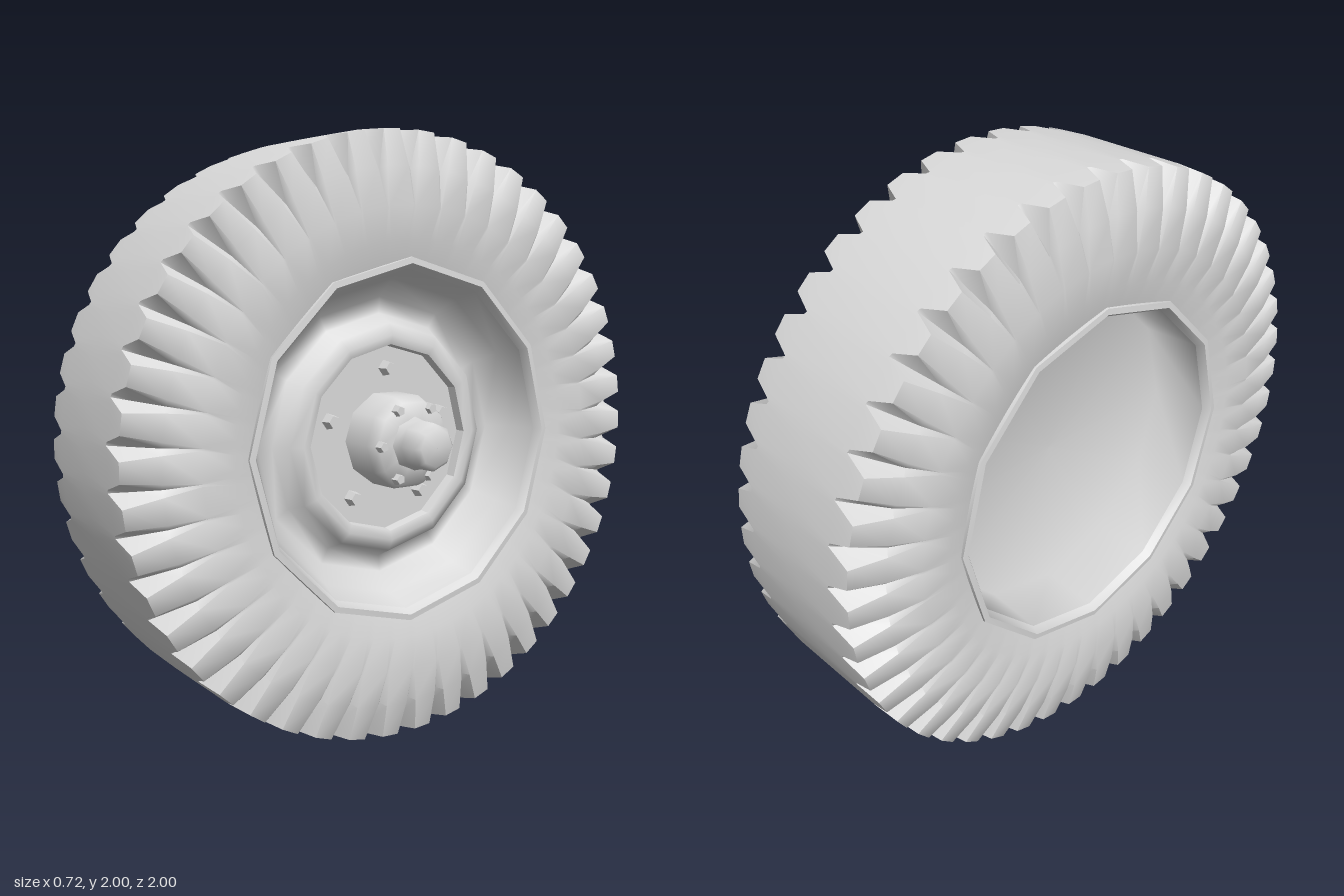
import * as THREE from 'three';
import { toCreasedNormals } from 'three/addons/utils/BufferGeometryUtils.js';

const grey = new THREE.MeshStandardMaterial({ color: 0xdadada, side: THREE.DoubleSide });
grey.name = 'plain grey';

function add(parent, name, geometry) {
  const mesh = new THREE.Mesh(geometry, grey);
  mesh.name = name;
  parent.add(mesh);
  return mesh;
}

// Revolve [radius, x] points around the axle (x axis)
function revolve(points, sides, crease) {
  const g = new THREE.LatheGeometry(points.map(([r, x]) => new THREE.Vector2(r, x)), sides);
  g.rotateZ(-Math.PI / 2);
  return crease ? toCreasedNormals(g, crease) : g;
}

// Tyre: V-shaped grooves cut into both shoulders, widest at the tread edge
function tyreGeometry() {
  const lugs = 46;
  const mid = -0.0625;
  // half section as [distance from the middle, radius, half width of the groove], bead to tread
  const lug = [[0.268, 0.57, 0.25], [0.288, 0.65, 0.25], [0.297, 0.76, 0.06],
    [0.287, 0.88, 0.16], [0.262, 0.995, 0.27], [0.185, 1, 0.08]];
  const groove = [[0.268, 0.57, 0], [0.288, 0.65, 0], [0.296, 0.755, 0],
    [0.268, 0.87, 0], [0.215, 0.95, 0], [0.18, 1, 0]];
  const full = half => [
    ...half.map(([d, r, w]) => [mid + d, r, w]),
    [mid, 1, half === lug ? 0.25 : 0],
    ...half.slice().reverse().map(([d, r, w]) => [mid - d, r, w]),
  ];
  const steps = [[-1, lug], [0, groove], [1, lug]];
  const position = [], index = [];
  const rings = lugs * steps.length, n = lug.length * 2 + 1;
  for (let i = 0; i < lugs; i++) {
    for (const [side, half] of steps) {
      for (const [x, r, w] of full(half)) {
        const a = (i + side * w) / lugs * Math.PI * 2;
        position.push(x, r * Math.cos(a), r * Math.sin(a));
      }
    }
  }
  for (let i = 0; i < rings; i++) {
    const p = i * n, q = ((i + 1) % rings) * n;
    for (let j = 0; j < n - 1; j++) {
      index.push(p + j, p + j + 1, q + j, q + j, p + j + 1, q + j + 1);
    }
  }
  const g = new THREE.BufferGeometry();
  g.setAttribute('position', new THREE.Float32BufferAttribute(position, 3));
  g.setIndex(index);
  return toCreasedNormals(g, 0.9);
}

// Ring of small five-sided nuts on a face at the given x
function nutRing(parent, name, count, ringRadius, x, radius, height) {
  const group = new THREE.Group();
  group.name = name;
  const g = new THREE.CylinderGeometry(radius * 0.75, radius, height, 5);
  g.rotateZ(-Math.PI / 2);
  const nut = toCreasedNormals(g, 0.5);
  for (let i = 0; i < count; i++) {
    const a = i / count * Math.PI * 2 + (count === 5 ? Math.PI / 2 : 0);
    const mesh = add(group, 'nut', nut);
    mesh.position.set(x + height / 2, ringRadius * Math.sin(a), ringRadius * Math.cos(a));
  }
  parent.add(group);
}

export function createModel() {
  const model = new THREE.Group();
  model.name = 'wheel';
  const wheel = new THREE.Group();
  wheel.name = 'wheelAssembly';
  wheel.position.y = 1;
  model.add(wheel);

  add(wheel, 'tyre', tyreGeometry());

  // Rim lips on both sides
  add(wheel, 'outerRimLip', revolve([[0.6, 0.195], [0.598, 0.22], [0.578, 0.222], [0.562, 0.195]], 12, 0.9));
  add(wheel, 'innerRimLip', revolve([[0.562, -0.32], [0.578, -0.347], [0.598, -0.345], [0.6, -0.32]], 12, 0.9));

  // Dished front with a raised ring around the flat centre
  add(wheel, 'dish', revolve([
    [0.562, 0.195], [0.53, 0.11], [0.47, 0.04], [0.415, 0.035],
    [0.385, 0.095], [0.345, 0.115], [0.315, 0.105],
  ], 12));
  add(wheel, 'centreDisc', revolve([[0.315, 0.105], [0.31, 0.072], [0.001, 0.072]], 12, 0.5));

  // Hollow bowl behind the dish
  add(wheel, 'backBowl', revolve([[0.562, -0.32], [0.55, -0.12], [0.001, -0.11]], 12));

  // Hub and axle cap
  add(wheel, 'hub', revolve([[0.16, 0.072], [0.158, 0.19], [0.14, 0.23], [0.08, 0.238]], 10, 1.2));
  add(wheel, 'axleCap', revolve([
    [0.09, 0.23], [0.08, 0.27], [0.078, 0.335], [0.062, 0.352], [0.001, 0.356],
  ], 8, 1.2));

  nutRing(wheel, 'wheelNuts', 5, 0.235, 0.072, 0.028, 0.035);
  nutRing(wheel, 'hubNuts', 6, 0.128, 0.225, 0.021, 0.025);
  return model;
}
